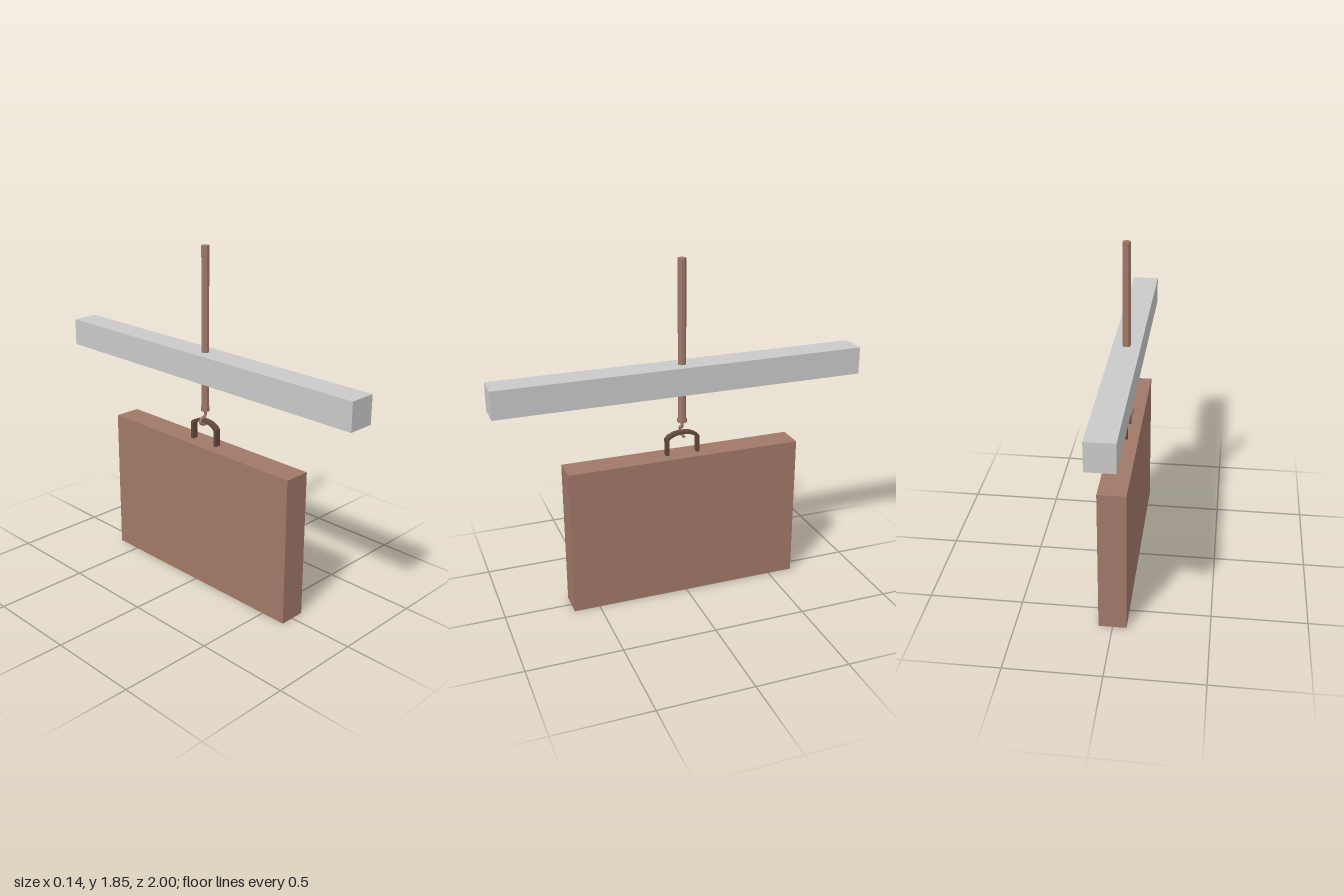
import * as THREE from 'three';

export function createModel() {
  const group = new THREE.Group();
  const mat = (name, color) => {
    const m = new THREE.MeshStandardMaterial({ color });
    m.name = name;
    m.flatShading = true;
    return m;
  };
  const brown = mat('brown', 0xa07868);
  const darkBrown = mat('dark brown', 0x64483c);
  const grey = mat('light grey', 0xc9c9c9);

  const add = (name, geometry, material, y = 0) => {
    const mesh = new THREE.Mesh(geometry, material);
    mesh.name = name;
    mesh.position.y = y;
    group.add(mesh);
    return mesh;
  };

  // hanging block and cross beam
  add('block', new THREE.BoxGeometry(0.145, 0.8, 1.28), brown, 0.4);
  add('beam', new THREE.BoxGeometry(0.145, 0.148, 2), grey, 1.222);

  // octagonal rod with a collar at its lower end
  const octagon = (r, h) => new THREE.CylinderGeometry(r, r, h, 8).rotateY(Math.PI / 8);
  add('rod', octagon(0.0215, 0.848), brown, 1.421);
  add('collar', octagon(0.025, 0.022), brown, 0.988);

  // hook: neck, sideways loop, and tip passing under the handle
  const hookPath = new THREE.CatmullRomCurve3([
    [0, 0.98], [0, 0.952], [-0.006, 0.943], [-0.025, 0.94], [-0.034, 0.928],
    [-0.033, 0.913], [-0.022, 0.904], [0, 0.902], [0.03, 0.905],
  ].map(([x, y]) => new THREE.Vector3(x, y, 0)));
  add('hook', new THREE.TubeGeometry(hookPath, 20, 0.008, 6), brown);
  // closed tip of the hook
  const tip = add('hookTip', new THREE.SphereGeometry(0.008, 6, 4), brown, 0.905);
  tip.position.x = 0.03;

  // flat arched handle: outer outline out, inner outline back
  const outer = [[0.094, 0.79], [0.094, 0.892], [0.078, 0.908], [0.042, 0.924], [0, 0.928]];
  const inner = [[0, 0.912], [0.038, 0.908], [0.066, 0.896], [0.077, 0.884], [0.077, 0.79]];
  const mirror = (pts) => pts.slice().reverse().filter(([z]) => z > 0).map(([z, y]) => [-z, y]);
  const outline = [...outer, ...mirror(outer), ...mirror(inner), ...inner];
  const shape = new THREE.Shape(outline.map(([z, y]) => new THREE.Vector2(z, y)));
  const handle = new THREE.ExtrudeGeometry(shape, { depth: 0.032, bevelEnabled: false });
  handle.translate(0, 0, -0.016).rotateY(-Math.PI / 2);
  add('handle', handle, darkBrown);

  return group;
}
